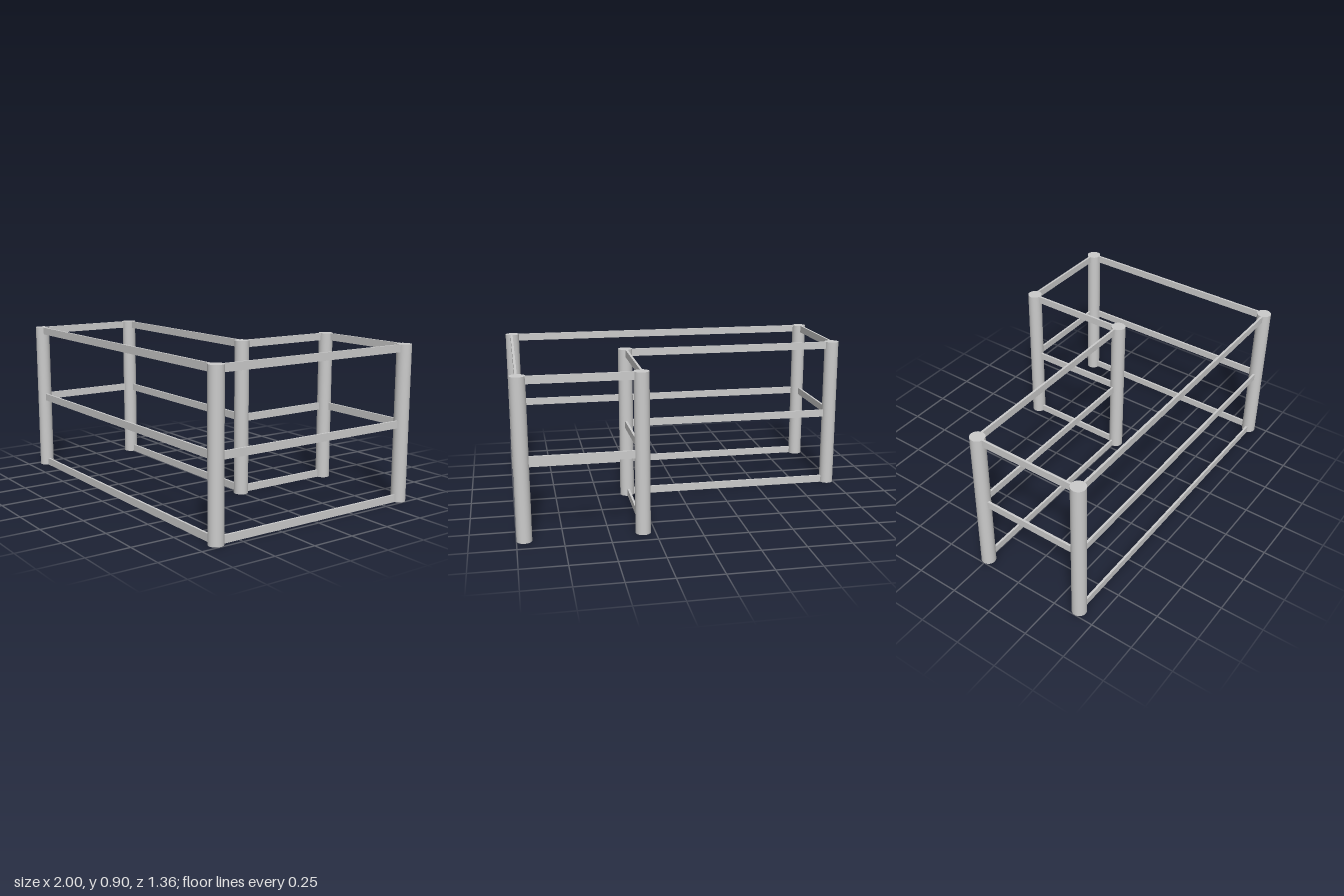
import * as THREE from 'three';

const HEIGHT = 0.9, POST_RADIUS = 0.042;
const RAIL_HEIGHT = 0.043, RAIL_THICKNESS = 0.013;

export function createModel() {
  const group = new THREE.Group();
  group.name = 'railingFrame';
  const material = new THREE.MeshStandardMaterial({ color: 0xcccccc });

  // Posts at the corners of the L-shaped plan, [x, z]
  const corners = [
    [-0.958, 0.638], [0.958, 0.638], [0.958, -0.638],
    [0.317, -0.638], [0.317, 0], [-0.958, 0],
  ];
  const postGeometry = new THREE.CylinderGeometry(POST_RADIUS, POST_RADIUS, HEIGHT, 32);
  corners.forEach(([x, z]) => {
    const post = new THREE.Mesh(postGeometry, material);
    post.name = 'post';
    post.position.set(x, HEIGHT / 2, z);
    group.add(post);
  });

  // Flat rail standing on edge between two plan points, stopping inside the posts
  function addRail(name, [ax, az], [bx, bz], y) {
    const length = Math.hypot(bx - ax, bz - az) - 2 * (POST_RADIUS - 0.004);
    const rail = new THREE.Mesh(new THREE.BoxGeometry(length, RAIL_HEIGHT, RAIL_THICKNESS), material);
    rail.name = name;
    rail.position.set((ax + bx) / 2, y, (az + bz) / 2);
    rail.rotation.y = -Math.atan2(bz - az, bx - ax);
    group.add(rail);
  }

  // Each side: name, outward offset [x, z], and whether it has a bottom rail
  const sides = [
    ['front', [0, 0.005], true],
    ['left', [0.005, 0], true],
    ['back', [0, -0.007], false],
    ['innerSide', [-0.004, 0], true],
    ['innerBack', [0, -0.006], true],
    ['right', [-0.005, 0], false],
  ];
  const levels = { Top: HEIGHT - RAIL_HEIGHT / 2, Middle: 0.45, Bottom: RAIL_HEIGHT / 2 };
  sides.forEach(([side, [ox, oz], hasBottom], i) => {
    const [a, b] = [corners[i], corners[(i + 1) % corners.length]].map(([x, z]) => [x + ox, z + oz]);
    for (const [level, y] of Object.entries(levels)) {
      if (level === 'Bottom' && !hasBottom) continue;
      // The inner side's middle rail sits slightly askew
      const skew = side === 'innerSide' && level === 'Middle' ? 0.01 : 0;
      addRail(`${side}${level}Rail`, a, [b[0] + skew, b[1]], y);
    }
  });
  return group;
}
